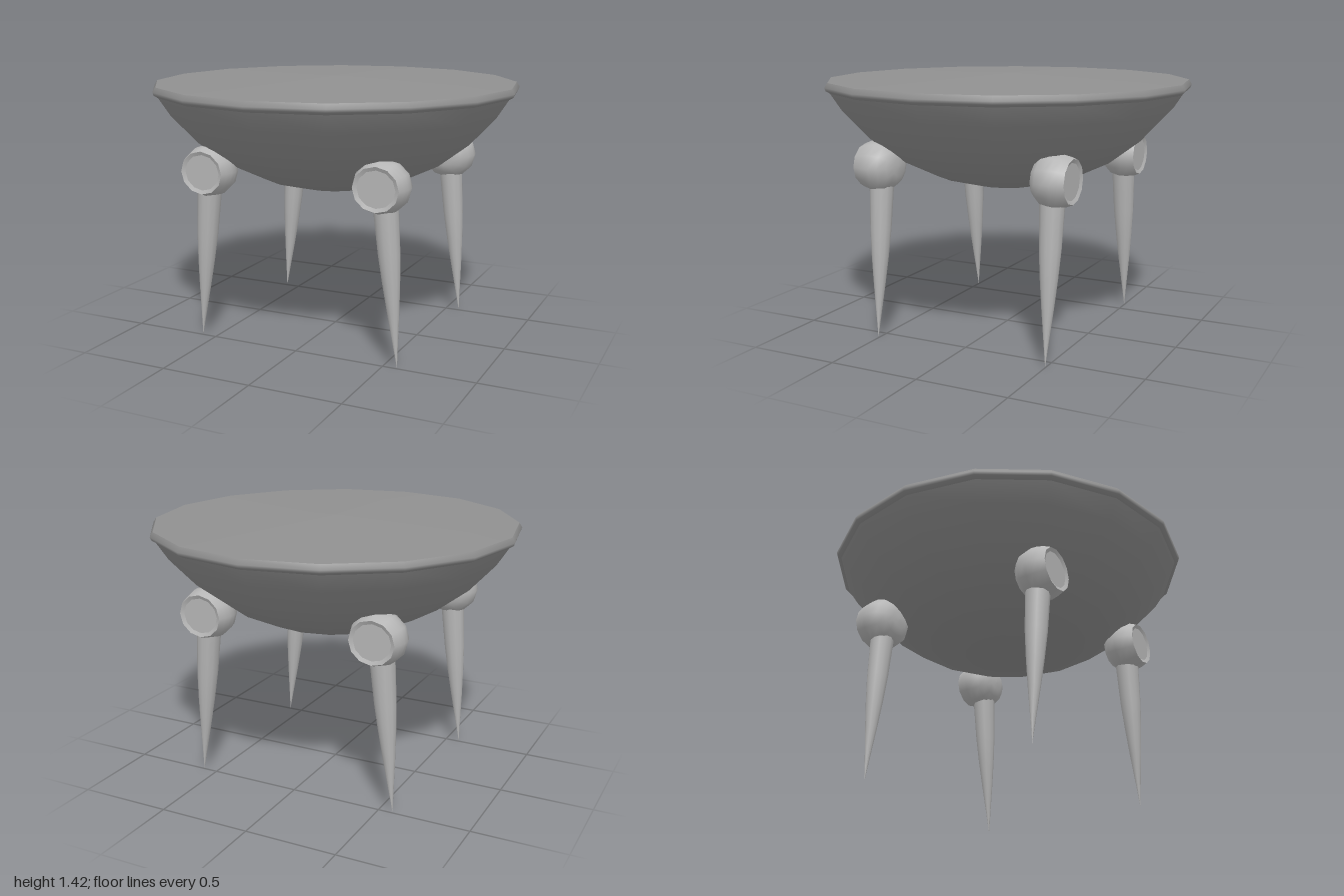
import * as THREE from 'three';

const bowlGrey = new THREE.MeshStandardMaterial({ color: 0x909090 });
const legGrey = new THREE.MeshStandardMaterial({ color: 0xb6b6b6 });

// Surface of revolution about y, profile listed as [radius, height]
function lathe(profile, sides) {
  return new THREE.LatheGeometry(profile.map(([r, y]) => new THREE.Vector2(r, y)), sides);
}

function part(name, geometry, material) {
  const mesh = new THREE.Mesh(geometry, material);
  mesh.name = name;
  return mesh;
}

export function createModel() {
  const model = new THREE.Group();
  model.name = 'bowlOnLegs';

  // Sixteen-sided bowl, smooth below a narrow rim and a shallow conical lid
  model.add(part('bowl', lathe([
    [0, 0.802], [0.2, 0.815], [0.4, 0.867], [0.6, 0.962], [0.77, 1.09], [0.91, 1.24], [0.972, 1.335],
  ], 16), bowlGrey));
  model.add(part('rim', lathe([[0.972, 1.335], [0.994, 1.348], [1, 1.365], [0.984, 1.39]], 16), bowlGrey));
  model.add(part('lid', lathe([[0.984, 1.39], [0, 1.42]], 16), bowlGrey));

  // Rounded joint whose flat, slightly recessed end faces along +y before turning
  const ball = lathe([
    [0, -0.106], [0.055, -0.104], [0.1, -0.085], [0.135, -0.048], [0.149, 0],
    [0.147, 0.035], [0.138, 0.07], [0.123, 0.105],
  ], 12);
  const socket = lathe([[0.123, 0.105], [0.102, 0.096]], 12);
  const cap = new THREE.CircleGeometry(0.102, 12);

  // Tapered spike, sheared so that its tip leans outward
  const spike = lathe([[0, 0], [0.032, 0.3], [0.046, 0.45], [0.057, 0.6], [0.066, 0.86]], 12);

  for (const sx of [-1, 1]) {
    for (const sz of [-1, 1]) {
      const leg = new THREE.Group();
      leg.name = `${sz > 0 ? 'front' : 'back'}${sx > 0 ? 'Left' : 'Right'}Leg`;

      const joint = new THREE.Group();
      joint.name = 'joint';
      for (const [name, geometry] of [['jointBall', ball], ['jointSocket', socket]]) {
        const mesh = part(name, geometry, legGrey);
        mesh.rotation.x = Math.PI / 2;
        joint.add(mesh);
      }
      const disc = part('jointCap', cap, legGrey);
      disc.position.z = 0.096;
      joint.add(disc);
      joint.scale.y = 0.93;
      joint.rotation.y = sz > 0 ? 0 : Math.PI;
      joint.position.set(sx * 0.494, 0.943, sz * 0.5);
      leg.add(joint);

      const geometry = spike.clone();
      geometry.applyMatrix4(new THREE.Matrix4().makeShear(0, 0, -sx * 0.085, 0, 0, 0));
      const shin = part('spike', geometry, legGrey);
      shin.position.set(sx * 0.58, 0, sz * 0.5);
      leg.add(shin);
      model.add(leg);
    }
  }
  return model;
}
